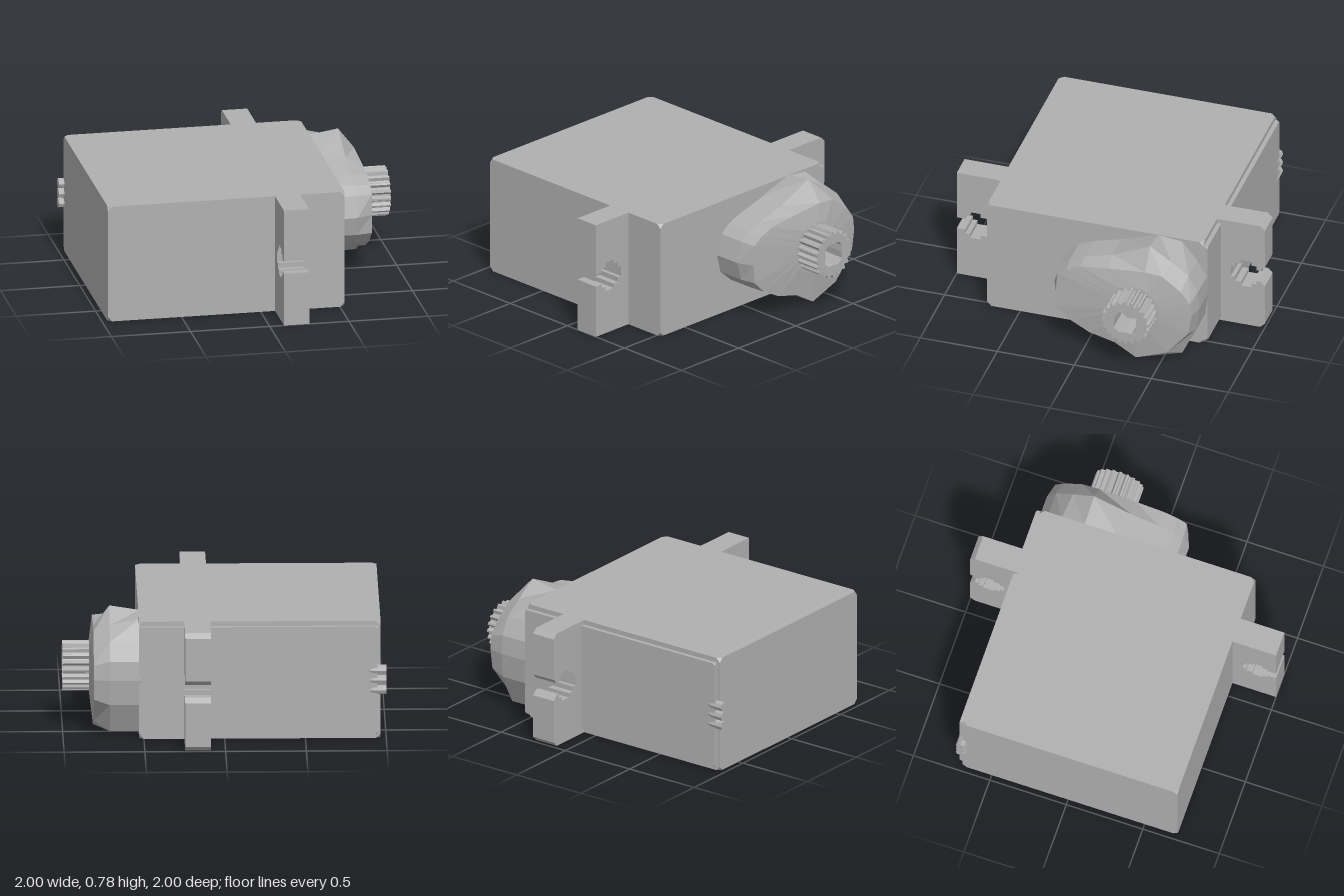
import * as THREE from 'three';
import { ConvexGeometry } from 'three/addons/geometries/ConvexGeometry.js';

const grey = new THREE.MeshStandardMaterial({ color: 0xb0b0b0 });
grey.name = 'plastic grey';
grey.flatShading = true;

function part(name, geometry) {
  const mesh = new THREE.Mesh(geometry, grey);
  mesh.name = name;
  return mesh;
}

// Box between two corners, with its eight corners cut off
function cutBox(min, max, cut) {
  const points = [];
  for (const i of [0, 1]) for (const j of [0, 1]) for (const k of [0, 1]) {
    const side = [i, j, k];
    for (let axis = 0; axis < 3; axis++) {
      const p = side.map((s, n) => (s ? max[n] : min[n]));
      p[axis] += side[axis] ? -cut : cut;
      points.push(new THREE.Vector3(...p));
    }
  }
  return new ConvexGeometry(points);
}

// Shape drawn in (-z, y), extruded along +x
function extrudeX(shape, x0, x1) {
  const geometry = new THREE.ExtrudeGeometry(shape, { depth: x1 - x0, bevelEnabled: false });
  return geometry.rotateY(Math.PI / 2).translate(x0, 0, 0);
}

// Mounting tab with a stepped keyhole slot open to its outer end
function tabShape(sign, cut) {
  const mid = 0.378;
  const slot = [[0.945, 0.04], [0.945, 0.067], [0.915, 0.067], [0.915, 0.095], [0.845, 0.095],
    [0.845, 0.067], [0.805, 0.067], [0.805, 0.035], [0.78, 0.035]];
  const mouth = cut ? [[1, 0.07], [0.97, 0.04]] : [[1, 0.04]];
  const lower = [...mouth, ...slot].map(([d, h]) => [d, mid - h]);
  const upper = [...mouth, ...slot].reverse().map(([d, h]) => [d, mid + h]);
  const outline = [[0.68, 0], [1 - cut, 0], [1, cut], ...lower, ...upper,
    [1, 0.75 - cut], [1 - cut, 0.75], [0.68, 0.75]];
  return new THREE.Shape(outline.map(([d, y]) => new THREE.Vector2(-sign * d, y)));
}

// Faceted gear housing lofted through rings of [z, y], closed by a cap
function loft(sections) {
  const positions = [];
  const at = (s, k) => [s.x, s.ring[k][1], s.ring[k][0]];
  const count = sections[0].ring.length;
  for (let i = 0; i < sections.length - 1; i++) {
    for (let k = 0; k < count; k++) {
      const n = (k + 1) % count;
      const a = at(sections[i], k), b = at(sections[i], n);
      const c = at(sections[i + 1], n), d = at(sections[i + 1], k);
      positions.push(...a, ...d, ...c, ...a, ...c, ...b);
    }
  }
  const last = sections[sections.length - 1];
  for (let k = 0; k < count; k++) {
    positions.push(last.x, 0.38, -0.33, ...at(last, (k + 1) % count), ...at(last, k));
  }
  const geometry = new THREE.BufferGeometry();
  geometry.setAttribute('position', new THREE.Float32BufferAttribute(positions, 3));
  geometry.computeVertexNormals();
  return geometry;
}

export function createModel() {
  const model = new THREE.Group();
  model.name = 'servoMotor';

  // Case and raised back cover
  model.add(part('case', cutBox([-0.965, 0, -0.69], [0.53, 0.75, 0.715], 0.028)));
  model.add(part('backCover', cutBox([-0.945, 0.03, -0.717], [0.53, 0.72, -0.66], 0.012)));

  // Mounting tabs
  model.add(part('frontTab', extrudeX(tabShape(1, 0), 0.09, 0.25)));
  model.add(part('backTab', extrudeX(tabShape(-1, 0.03), 0.09, 0.25)));

  // Gear housing
  const base = [[0.22, 0.40], [0.18, 0.53], [0.12, 0.58], [0.02, 0.62], [-0.16, 0.67], [-0.40, 0.75],
    [-0.55, 0.735], [-0.65, 0.61], [-0.71, 0.50], [-0.72, 0.38], [-0.70, 0.22], [-0.61, 0.03],
    [-0.34, 0], [-0.20, 0.09], [-0.04, 0.13], [0.10, 0.20], [0.19, 0.28]];
  const crown = base.map((p, k) => (k === 5 ? [-0.40, 0.78] : k === 6 ? [-0.54, 0.69] : p));
  const face = [[0.18, 0.40], [0.17, 0.53], [0.11, 0.575], [0.02, 0.61], [-0.16, 0.63], [-0.40, 0.65],
    [-0.51, 0.64], [-0.63, 0.55], [-0.69, 0.47], [-0.70, 0.38], [-0.68, 0.25], [-0.54, 0.08],
    [-0.34, 0.005], [-0.20, 0.09], [-0.04, 0.13], [0.09, 0.20], [0.17, 0.28]];
  const collar = face.map(([z, y]) => {
    const angle = Math.atan2(y - 0.38, z + 0.33);
    return [-0.33 + 0.165 * Math.cos(angle), 0.38 + 0.165 * Math.sin(angle)];
  });
  model.add(part('gearHousing', loft([
    { x: 0.52, ring: base }, { x: 0.71, ring: crown },
    { x: 0.81, ring: face }, { x: 0.835, ring: collar },
  ])));

  // Splined output shaft with a screw hole
  const teeth = 20;
  const spline = [];
  for (let i = 0; i < teeth * 4; i++) {
    const angle = (i / (teeth * 4)) * Math.PI * 2;
    const radius = i % 4 < 2 ? 0.155 : 0.135;
    spline.push(new THREE.Vector2(0.33 + radius * Math.cos(angle), 0.38 + radius * Math.sin(angle)));
  }
  const shaft = new THREE.Shape(spline);
  const hole = [];
  for (let i = 0; i < 12; i++) {
    const angle = (i / 12) * Math.PI * 2;
    const radius = i % 3 ? 0.085 : 0.07;
    hole.push(new THREE.Vector2(0.33 + radius * Math.cos(angle), 0.38 + radius * Math.sin(angle)));
  }
  shaft.holes.push(new THREE.Path(hole));
  model.add(part('outputShaft', extrudeX(shaft, 0.79, 1)));

  // Three short cable ends, tapering along the back cover
  for (let i = -1; i <= 1; i++) {
    const wire = new THREE.Group();
    wire.name = 'cableEnd';
    const end = new THREE.CylinderGeometry(0.032, 0.032, 0.08, 8).rotateZ(Math.PI / 2);
    const taper = new THREE.ConeGeometry(0.032, 0.16, 8).rotateZ(-Math.PI / 2);
    wire.add(part('wireEnd', end.translate(-0.96, 0, 0)));
    wire.add(part('wireTaper', taper.translate(-0.84, 0, 0)));
    wire.position.set(0, 0.375 + i * 0.063, -0.692);
    model.add(wire);
  }
  return model;
}
